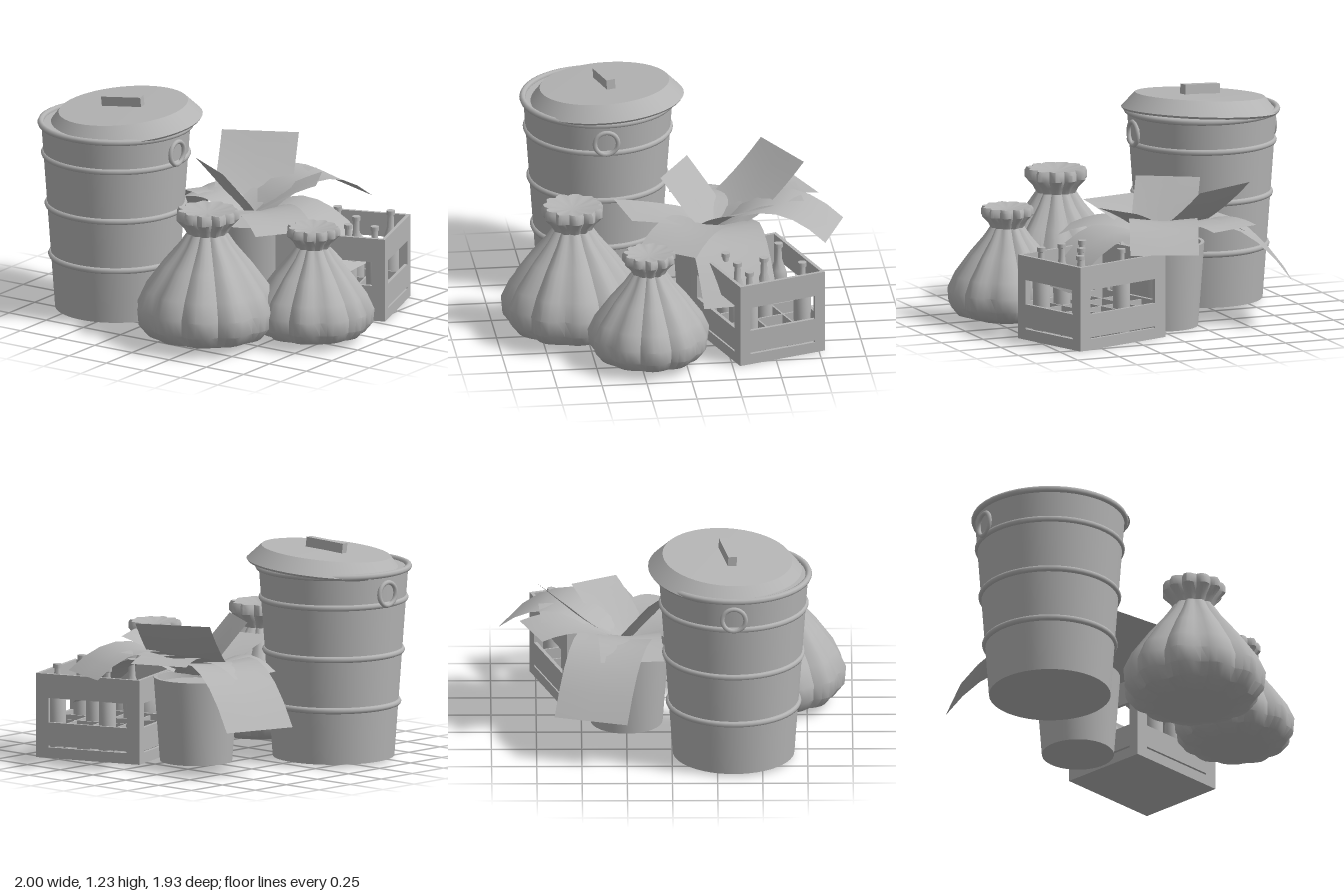
import * as THREE from 'three';
import { toCreasedNormals } from 'three/addons/utils/BufferGeometryUtils.js';

const grey = new THREE.MeshStandardMaterial({ color: 0xb4b4b4, side: THREE.DoubleSide });
grey.name = 'plain grey';

function add(parent, name, geometry, x = 0, y = 0, z = 0) {
  const mesh = new THREE.Mesh(geometry, grey);
  mesh.name = name;
  mesh.position.set(x, y, z);
  parent.add(mesh);
  return mesh;
}

function addGroup(parent, name, x, y, z) {
  const group = new THREE.Group();
  group.name = name;
  group.position.set(x, y, z);
  parent.add(group);
  return group;
}

function lathe(points, sides) {
  const profile = points.map(([r, y]) => new THREE.Vector2(r, y));
  return toCreasedNormals(new THREE.LatheGeometry(profile, sides), 0.6);
}

// Tapered bin with hoops, ring handles and a crooked lid
function buildBin(model) {
  const bin = addGroup(model, 'bin', -0.564, 0, 0.34);
  add(bin, 'binBody', lathe([[0, 0.015], [0.337, 0.015], [0.414, 1.075], [0, 1.075]], 48));
  for (const [y, r] of [[0.32, 0.358], [0.61, 0.378], [0.903, 0.398], [1.077, 0.417]]) {
    add(bin, 'binHoop', new THREE.TorusGeometry(r, 0.018, 8, 48), 0, y, 0).rotation.x = Math.PI / 2;
  }
  for (const side of [-1, 1]) {
    const ring = add(bin, 'binRingHandle', new THREE.TorusGeometry(0.065, 0.013, 8, 24), side * 0.412, 0.965, 0);
    ring.rotation.y = Math.PI / 2;
  }
  const lid = addGroup(bin, 'binLid', 0.032, 1.07, -0.04);
  lid.rotation.set(0.065, 0, 0.07);
  add(lid, 'lidShell', lathe([[0, 0], [0.425, 0], [0.435, 0.012], [0.36, 0.095], [0, 0.1]], 48));
  add(lid, 'lidHandle', new THREE.BoxGeometry(0.235, 0.06, 0.05), 0, 0.123, 0).rotation.y = 0.22;
}

// Tied sack: a turned profile [radius, height, pleat depth] pushed into uneven pleats
function buildSack(model, x, z, scale, turn) {
  const profile = [
    [0, 0, 0], [0.2, 0.015, 0.02], [0.33, 0.055, 0.05], [0.38, 0.12, 0.06], [0.386, 0.21, 0.07],
    [0.34, 0.31, 0.08], [0.24, 0.45, 0.09], [0.15, 0.56, 0.1], [0.108, 0.625, 0.1], [0.125, 0.66, 0.12],
    [0.165, 0.705, 0.13], [0.165, 0.74, 0.13], [0.155, 0.76, 0.13], [0.125, 0.755, 0.13], [0.06, 0.745, 0.1], [0, 0.74, 0],
  ];
  const lobes = 11, sides = lobes * 5;
  const geometry = new THREE.LatheGeometry(profile.map(([r, y]) => new THREE.Vector2(r, y)), sides);
  const pleat = [-0.9, 0.1, 0.6, 0.35, -0.2];
  const p = geometry.attributes.position;
  for (let i = 0; i < p.count; i++) {
    const step = Math.floor(i / profile.length) % sides;
    const lobe = Math.floor(step / 5);
    const depth = profile[i % profile.length][2] * (0.85 + 0.25 * Math.sin(lobe * 2.4));
    const k = 1 + depth * pleat[step % 5];
    p.setX(i, p.getX(i) * k);
    p.setZ(i, p.getZ(i) * k);
  }
  const sack = add(model, 'sack', toCreasedNormals(geometry, 0.65), x, 0, z);
  sack.scale.setScalar(scale);
  sack.rotation.y = turn;
}

// Wall panel with a wide opening and a thin slot
function wallGeometry(width) {
  const rect = (path, w, y0, y1) => path.moveTo(-w, y0).lineTo(w, y0).lineTo(w, y1).lineTo(-w, y1).closePath();
  const shape = rect(new THREE.Shape(), width / 2, 0, 0.472);
  shape.holes.push(rect(new THREE.Path(), width * 0.38, 0.2, 0.337));
  shape.holes.push(rect(new THREE.Path(), width * 0.38, 0.06, 0.07));
  return new THREE.ExtrudeGeometry(shape, { depth: 0.02, bevelEnabled: false });
}

// Bottle crate with dividers
function buildCrate(model) {
  const w = 0.63, d = 0.52;
  const crate = addGroup(model, 'crate', 0.427, 0, -0.436);
  crate.rotation.y = 0.33;
  add(crate, 'crateFloor', new THREE.BoxGeometry(w, 0.02, d), 0, 0.01, 0);
  for (const side of [-1, 1]) {
    add(crate, 'crateLongWall', wallGeometry(w), 0, 0, side * (d / 2 - 0.01) - 0.01);
    add(crate, 'crateEndWall', wallGeometry(d), side * (w / 2 - 0.01) - 0.01, 0, 0).rotation.y = Math.PI / 2;
  }
  for (const x of [-0.15, 0, 0.15]) add(crate, 'divider', new THREE.BoxGeometry(0.01, 0.17, d - 0.04), x, 0.105, 0);
  for (const z of [-0.08, 0.08]) add(crate, 'divider', new THREE.BoxGeometry(w - 0.04, 0.17, 0.01), 0, 0.105, z);

  const bottle = lathe([[0, 0.02], [0.046, 0.02], [0.048, 0.33], [0.04, 0.36], [0.02, 0.42], [0.017, 0.49],
    [0.024, 0.492], [0.024, 0.515], [0, 0.515]], 16);
  for (const [col, row] of [[3, 0], [3, 2], [2, 2], [2, 1], [1, 0], [1, 2]]) {
    add(crate, 'bottle', bottle, (col - 1.5) * 0.152, 0, (row - 1) * 0.162);
  }
}

// Broad bent leaf strip from the pot to its tip
function leafGeometry(start, tip, peak, width) {
  const mid = start.clone().lerp(tip, 0.5).setY(peak);
  const curve = new THREE.QuadraticBezierCurve3(start, mid, tip);
  const across = new THREE.Vector3(-(tip.z - start.z), 0, tip.x - start.x).normalize();
  const steps = 7, positions = [], index = [];
  for (let i = 0; i <= steps; i++) {
    const t = i / steps;
    const centre = curve.getPoint(t);
    const half = width / 2 * Math.min(1, 0.75 + t);
    for (const s of [-1, 0, 1]) {
      const q = centre.clone().addScaledVector(across, s * half);
      positions.push(q.x, q.y + Math.abs(s) * 0.03 * (1 - t), q.z);
    }
    if (i < steps) {
      for (const c of [0, 1]) {
        const a = i * 3 + c;
        index.push(a, a + 3, a + 1, a + 1, a + 3, a + 4);
      }
    }
  }
  const geometry = new THREE.BufferGeometry();
  geometry.setAttribute('position', new THREE.Float32BufferAttribute(positions, 3));
  geometry.setIndex(index);
  geometry.computeVertexNormals();
  return geometry;
}

// Round pot with a spray of leaves
function buildPlant(model) {
  const px = -0.075, pz = -0.25;
  const plant = addGroup(model, 'pottedPlant', 0, 0, 0);
  add(plant, 'pot', lathe([[0, 0], [0.2, 0], [0.235, 0.47], [0.215, 0.47], [0.21, 0.43], [0, 0.43]], 32), px, 0, pz);
  // Each leaf: tip x, y, z, peak height, width
  const leaves = [
    [0.18, 0.525, -0.89, 0.8, 0.38], [-0.29, 0.62, -0.78, 0.68, 0.33],
    [-0.28, 0.83, -0.655, 0.6, 0.43], [-0.75, 0.27, -0.45, 0.75, 0.42],
    [-0.5, 0.52, -0.22, 0.66, 0.35], [0.03, 0.64, 0.27, 0.58, 0.33],
    [0.38, 0.52, 0.06, 0.64, 0.35], [0.62, 0.28, -0.32, 0.68, 0.42],
    [-0.1, 0.65, -0.73, 0.66, 0.28], [0.27, 0.7, -0.43, 0.62, 0.28],
    [-0.2, 0.79, -0.04, 0.64, 0.36],
  ];
  for (const [x, y, z, peak, width] of leaves) {
    const tip = new THREE.Vector3(x, y, z);
    const start = new THREE.Vector3(px, 0.48, pz).lerp(new THREE.Vector3(x, 0.48, z), 0.04);
    add(plant, 'leaf', leafGeometry(start, tip, peak, width));
  }
}

export function createModel() {
  const model = new THREE.Group();
  model.name = 'binCorner';
  buildBin(model);
  buildSack(model, 0.212, 0.573, 1, 0.2);
  buildSack(model, 0.665, 0.2, 0.848, 1.3);
  buildCrate(model);
  buildPlant(model);
  return model;
}
